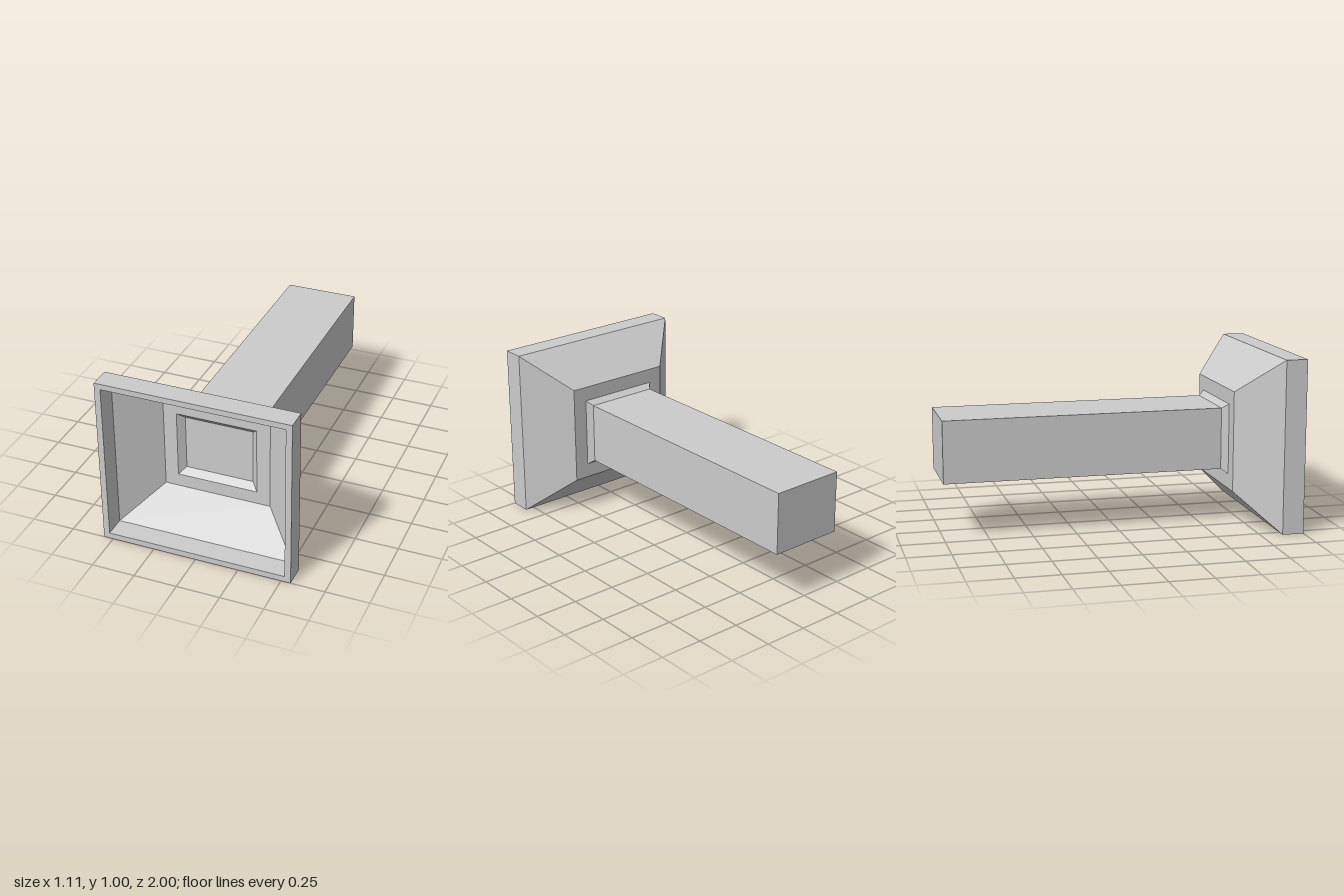
import * as THREE from 'three';

// Lofts a flat-shaded skin through rectangular rings [halfWidth, bottom, top, z]
function loft(rings, capStart, capEnd) {
  const corners = ([w, b, t, z]) => [[-w, b, z], [w, b, z], [w, t, z], [-w, t, z]];
  const pos = [];
  const quad = (a, b, c, d) => pos.push(...a, ...b, ...c, ...a, ...c, ...d);
  const loops = rings.map(corners);
  for (let k = 0; k < loops.length - 1; k++) {
    const a = loops[k], b = loops[k + 1];
    for (let i = 0; i < 4; i++) {
      const j = (i + 1) % 4;
      quad(a[i], a[j], b[j], b[i]);
    }
  }
  const [p, q, r, s] = loops[0];
  if (capStart) quad(s, r, q, p);
  if (capEnd) quad(...loops[loops.length - 1]);
  const geo = new THREE.BufferGeometry();
  geo.setAttribute('position', new THREE.Float32BufferAttribute(pos, 3));
  geo.computeVertexNormals();
  return geo;
}

export function createModel() {
  const group = new THREE.Group();
  const material = new THREE.MeshStandardMaterial({ color: 0xcccccc, flatShading: true, side: THREE.DoubleSide });
  const add = (name, geo) => {
    const mesh = new THREE.Mesh(geo, material);
    mesh.name = name;
    group.add(mesh);
  };

  // Long rectangular duct running to the back
  add('duct', loft([[0.215, 0.323, 0.681, -1], [0.215, 0.323, 0.681, 0.613]], true, false));

  // Flared hood: outer skin forward, around the rim, then the inner skin back to the recessed panel
  add('hood', loft([
    [0.215, 0.323, 0.681, 0.613], // collar at the duct
    [0.242, 0.296, 0.707, 0.65],
    [0.327, 0.211, 0.793, 0.65],  // back plate
    [0.555, 0, 1, 0.875],         // flare
    [0.555, 0, 1, 1],             // rim
    [0.52, 0.035, 0.967, 1],
    [0.517, 0.039, 0.965, 0.88],
    [0.313, 0.228, 0.776, 0.685], // inner flare
    [0.235, 0.304, 0.7, 0.685],
    [0.199, 0.34, 0.664, 0.648],  // recess
  ], false, true));

  return group;
}
